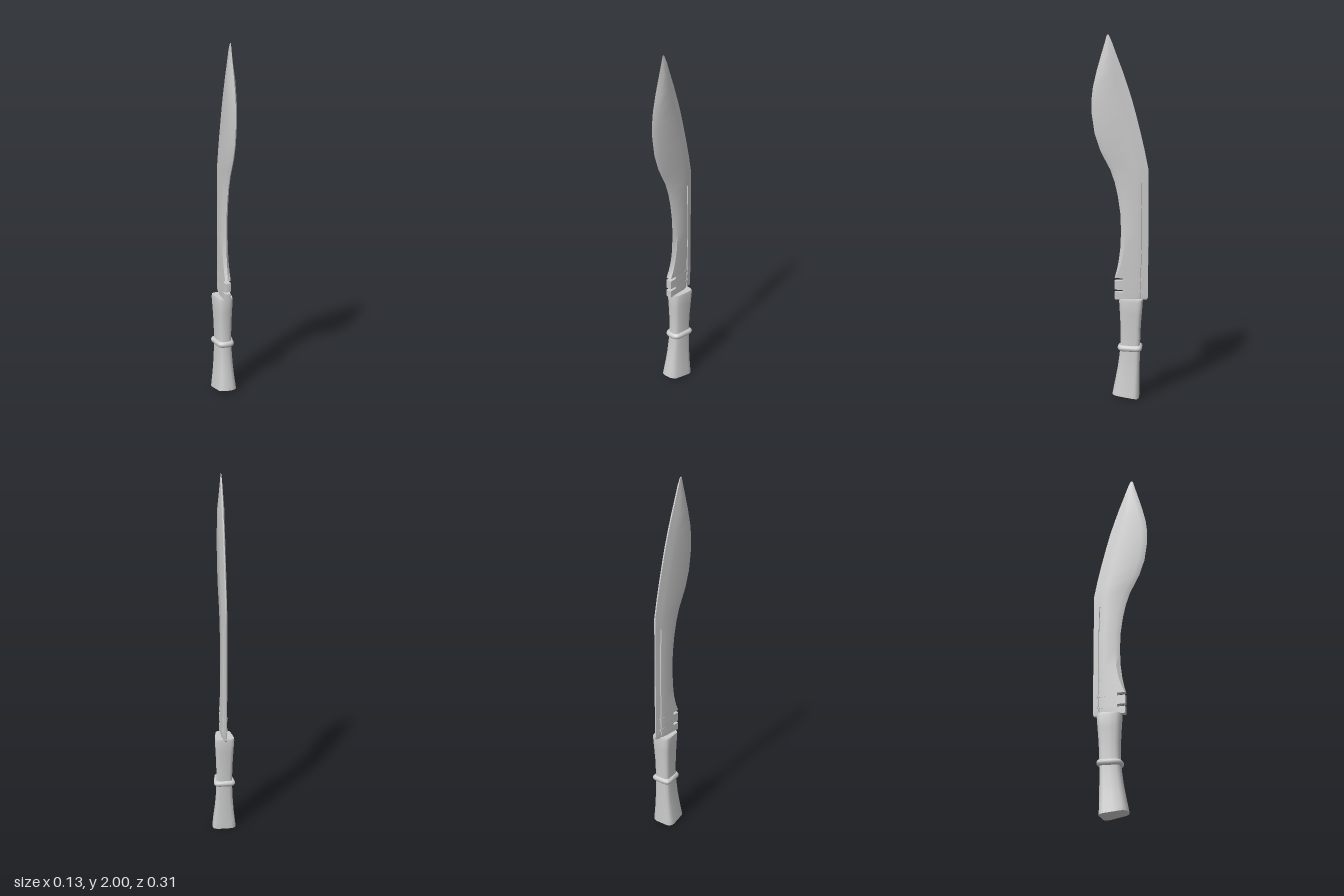
import * as THREE from 'three';
import { toCreasedNormals } from 'three/addons/utils/BufferGeometryUtils.js';

// Skins a stack of half outlines [x, y, z] (front to back on the +x side), mirrored in x and capped.
function loft(halves, crease) {
  const pos = [], idx = [];
  const n = halves[0].length * 2 - 2;
  for (const half of halves) {
    const mirrored = half.slice(1, -1).reverse().map(([x, y, z]) => [-x, y, z]);
    for (const p of [...half, ...mirrored]) pos.push(...p);
  }
  const last = (halves.length - 1) * n;
  for (let r = 0; r < last; r += n) {
    for (let i = 0; i < n; i++) {
      const a = r + i, b = r + (i + 1) % n;
      idx.push(a, b, b + n, a, b + n, a + n);
    }
  }
  for (let i = 0; i < n / 2; i++) {
    const j = (n - i) % n, k = n - i - 1;
    idx.push(last + i, last + i + 1, last + k, last + i, last + k, last + j);
    idx.push(i, k, i + 1, i, j, k);
  }
  const geo = new THREE.BufferGeometry();
  geo.setAttribute('position', new THREE.Float32BufferAttribute(pos, 3));
  geo.setIndex(idx);
  return toCreasedNormals(geo, crease);
}

// Blade section: cutting edge, bevel, flat, tapering spine with an optional narrow groove
function bladeSection([y, edge, spine, t, bevel, groove]) {
  const w = edge - spine, k = Math.min(1, w / 0.17);
  const back = Math.min(0.004, t);
  const at = (o, cut = 0) => [back + (t - back) * o / 0.07 - cut, y, spine + o * k];
  return [
    [0, y, edge],
    [t, y, edge - Math.min(bevel, w * 0.35)],
    at(0.07), at(0.041), at(0.039, groove ? 0.005 : 0),
    at(0.035, groove ? 0.005 : 0), at(0.033), at(0),
    [0, y, spine],
  ];
}

// Handle section: rounded outline, wide at the back and narrow at the front
const OUTLINE = [[0, 1], [0.35, 0.99], [0.6, 0.94], [0.78, 0.84], [0.9, 0.53],
  [1, 0.22], [0.98, 0.13], [0.9, 0.05], [0.6, 0], [0, 0]];
function handleSection([y, w, front, back, slant = 0]) {
  return OUTLINE.map(([u, v]) => [u * w, y + slant * v, back + (front - back) * v]);
}

export function createModel() {
  const group = new THREE.Group();
  const material = new THREE.MeshStandardMaterial({ color: 0xcccccc });
  const add = (name, geometry) => {
    const mesh = new THREE.Mesh(geometry, material);
    mesh.name = name;
    group.add(mesh);
  };

  // Blade rows: height, edge z, spine z, half thickness, bevel width, groove
  const T = 0.016, B = -0.155, N = -0.013;
  const rows = [
    [0.558, 0.03, -0.148, T, 0.004, 1],
    [0.568, 0.03, B, T, 0.004, 1],
    // two notches at the base of the edge
    [0.598, 0.03, B, T, 0.004, 1], [0.598, N, B, T, 0.004, 1],
    [0.612, N, B, T, 0.004, 1], [0.612, 0.03, B, T, 0.004, 1],
    [0.662, 0.03, B, T, 0.004, 1], [0.662, N, B, T, 0.004, 1],
    [0.677, N, B, T, 0.004, 1], [0.677, 0.03, B, T, 0.004, 1],
    // recurved neck
    [0.72, 0.018, B, T, 0.012, 1],
    [0.77, 0.008, B, T, 0.018, 1],
    [0.84, -0.001, B, T, 0.022, 1],
    [0.93, -0.005, B, T, 0.024, 1],
    [1.03, -0.002, B, T, 0.026, 1],
    [1.13, 0.012, B, T, 0.028, 1],
    [1.205, 0.029, B, T, 0.03, 1], [1.205, 0.029, B, T, 0.03, 0],
    // belly and point
    [1.275, 0.053, B, T, 0.03, 0],
    [1.32, 0.077, -0.146, T, 0.03, 0],
    [1.38, 0.108, -0.134, T, 0.03, 0],
    [1.47, 0.138, -0.113, T, 0.03, 0],
    [1.58, 0.154, -0.085, T, 0.03, 0],
    [1.65, 0.155, -0.066, T, 0.03, 0],
    [1.72, 0.147, -0.044, T, 0.03, 0],
    [1.81, 0.126, -0.013, T, 0.03, 0],
    [1.9, 0.1, 0.021, 0.01, 0.03, 0],
    [1.96, 0.082, 0.043, 0.005, 0.03, 0],
    [1.99, 0.074, 0.056, 0.002, 0.03, 0],
    [2, 0.07, 0.062, 0.001, 0.03, 0],
  ];
  add('blade', loft(rows.map(bladeSection), 0.6));

  // Handle rows: height, half width, front z, back z, slant of the base
  add('handle', loft([
    [0, 0.066, 0.042, -0.107, 0.018],
    [0.03, 0.063, 0.038, -0.107, 0.01],
    [0.1, 0.055, 0.026, -0.107],
    [0.17, 0.049, 0.013, -0.108],
    [0.25, 0.045, 0.002, -0.109],
    [0.32, 0.044, -0.003, -0.111],
    [0.4, 0.046, -0.003, -0.114],
    [0.48, 0.05, 0.001, -0.12],
    [0.548, 0.054, 0.005, -0.125],
    [0.56, 0.052, 0.003, -0.123],
  ].map(handleSection), 0.8));

  // Raised ring around the grip
  const ring = [];
  for (let i = 0; i <= 6; i++) {
    const a = (i / 6 - 0.5) * Math.PI, bulge = 0.016 * Math.cos(a);
    ring.push([0.284 + 0.017 * Math.sin(a), 0.044 + bulge, -0.003 + bulge, -0.107 - bulge]);
  }
  add('gripRing', loft(ring.map(handleSection), 0.9));

  return group;
}
